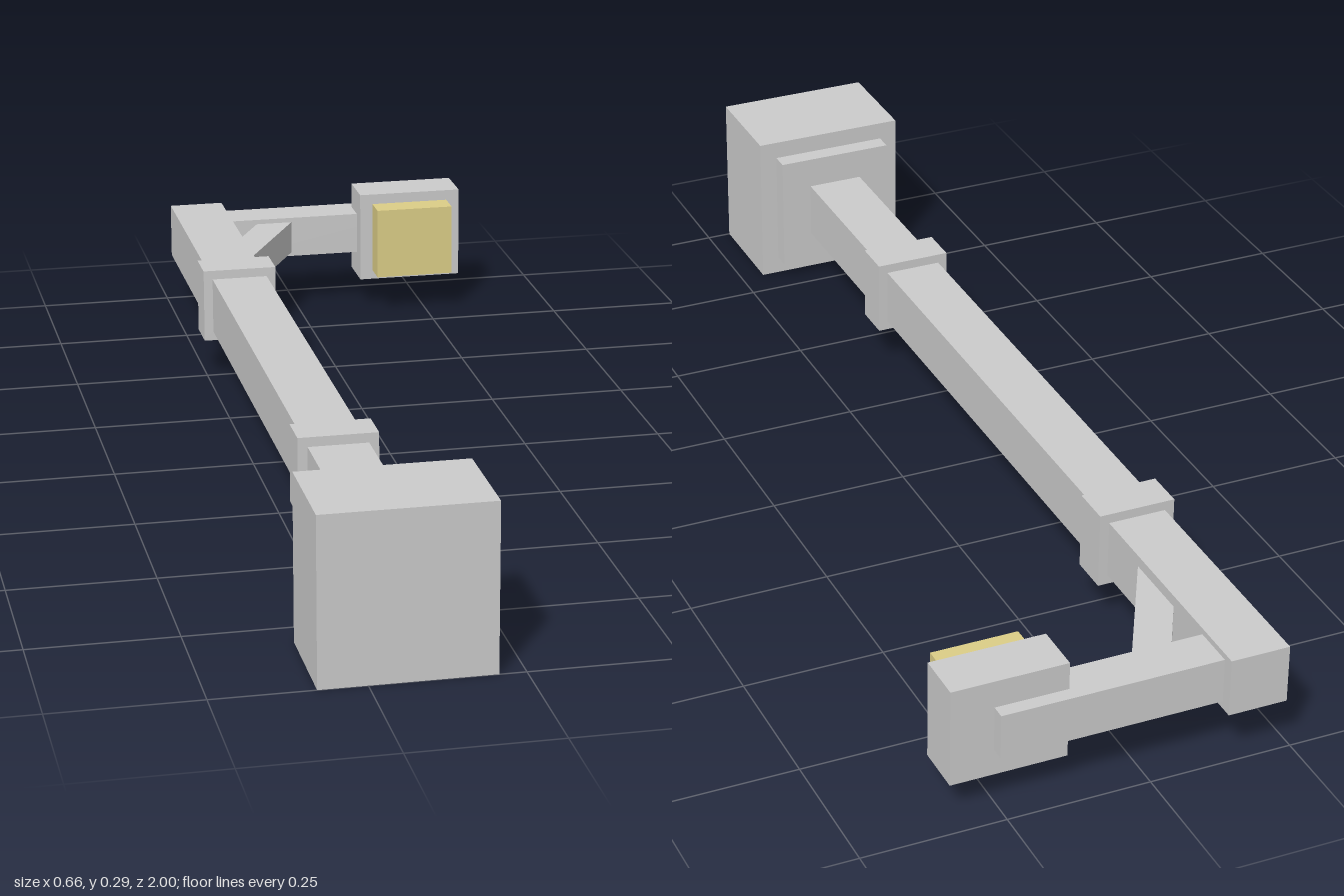
import * as THREE from 'three';

export function createModel() {
  const group = new THREE.Group();
  const grey = new THREE.MeshStandardMaterial({ color: 0xcccccc, flatShading: true });
  const yellow = new THREE.MeshStandardMaterial({ color: 0xdcce87, flatShading: true });
  const poleX = -0.187, midY = 0.143;

  // Box given by its x, y and z extents
  function block(name, [x0, x1], [y0, y1], [z0, z1], material = grey) {
    const mesh = new THREE.Mesh(new THREE.BoxGeometry(x1 - x0, y1 - y0, z1 - z0), material);
    mesh.position.set((x0 + x1) / 2, (y0 + y1) / 2, (z0 + z1) / 2);
    mesh.name = name;
    group.add(mesh);
    return mesh;
  }

  // Square section centred on the pole's axis
  function collar(name, width, z) {
    const h = width / 2;
    return block(name, [poleX - h, poleX + h], [midY - h, midY + h], z);
  }

  // Lying post: stepped base, shaft and two bands
  collar('base', 0.286, [0.81, 1]);
  collar('baseStep', 0.22, [0.777, 0.81]);
  collar('pole', 0.104, [-1, 0.777]);
  collar('lowerBand', 0.138, [0.39, 0.46]);
  collar('upperBand', 0.138, [-0.56, -0.488]);

  // Side arm and its diagonal brace
  block('arm', [-0.135, 0.253], [0.104, 0.184], [-0.978, -0.9]);
  const brace = block('brace', [-0.126, -0.064], [0.112, 0.175], [-0.958, -0.658]);
  brace.rotation.y = -0.498;

  // Lamp housing with its glowing panel
  block('lampHousing', [0.125, 0.328], [0.056, 0.233], [-0.953, -0.865]);
  block('lampPanel', [0.15, 0.302], [0.074, 0.213], [-0.865, -0.815], yellow);

  return group;
}
